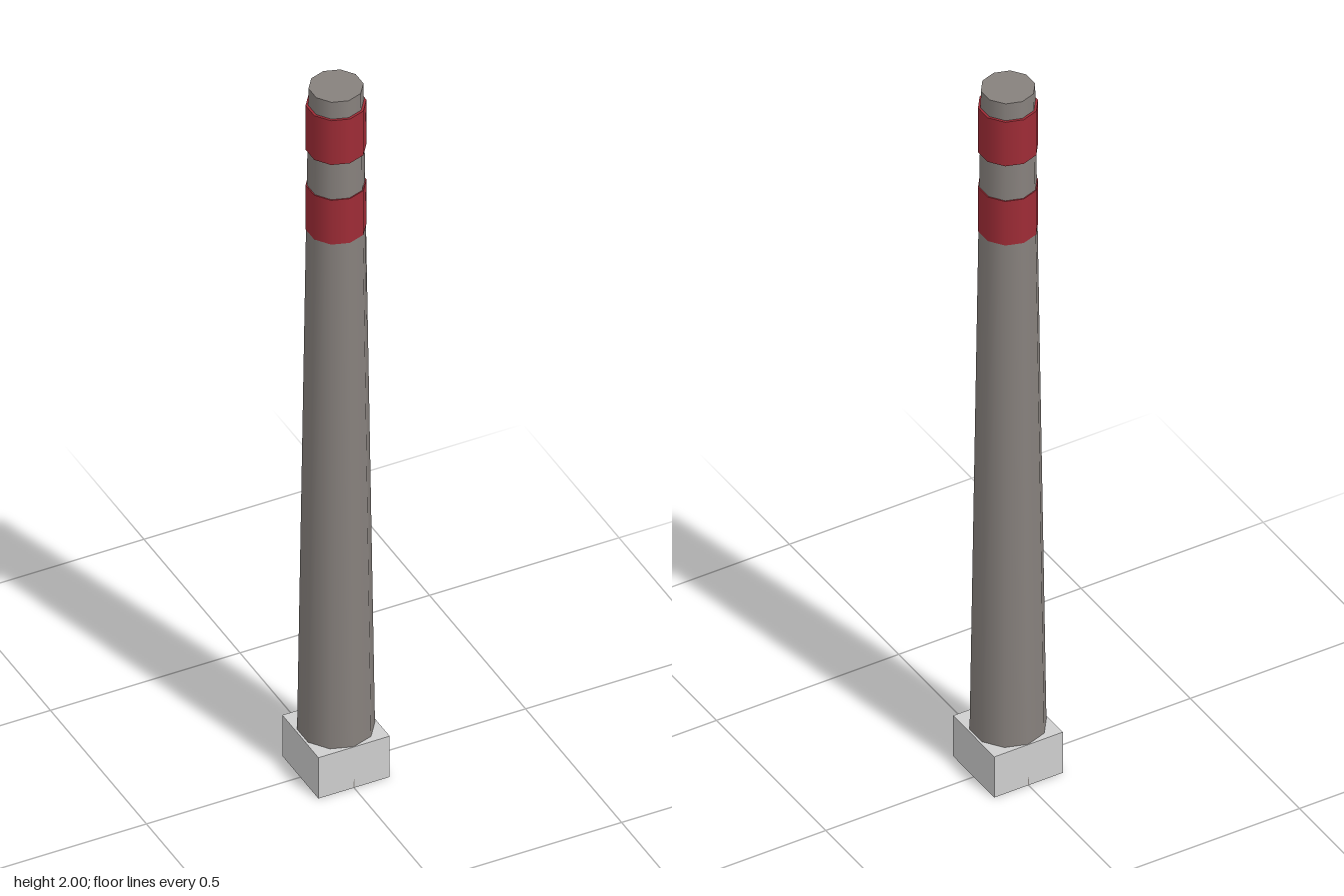
import * as THREE from 'three';

const SIDES = 10;

export function createModel() {
  const chimney = new THREE.Group();
  chimney.name = 'chimney';

  const concrete = new THREE.MeshStandardMaterial({ name: 'light concrete', color: 0xcfcfcf });
  const stone = new THREE.MeshStandardMaterial({ name: 'warm grey', color: 0x87817d });
  const red = new THREE.MeshStandardMaterial({ name: 'warning red', color: 0x9f2c36 });

  const add = (name, geometry, material, y) => {
    const mesh = new THREE.Mesh(geometry, material);
    mesh.name = name;
    mesh.position.y = y;
    chimney.add(mesh);
  };

  // Square footing
  add('base', new THREE.BoxGeometry(0.188, 0.12, 0.188), concrete, 0.06);

  // Tapered ten-sided stack, rising out of the footing
  const bottom = 0.002;
  add('shaft', new THREE.CylinderGeometry(0.0655, 0.0945, 2 - bottom, SIDES), stone, (2 + bottom) / 2);

  // Raised warning bands near the top
  for (const [name, y] of [['lowerBand', 1.652], ['upperBand', 1.886]]) {
    add(name, new THREE.CylinderGeometry(0.0725, 0.0725, 0.13, SIDES), red, y);
  }

  return chimney;
}
